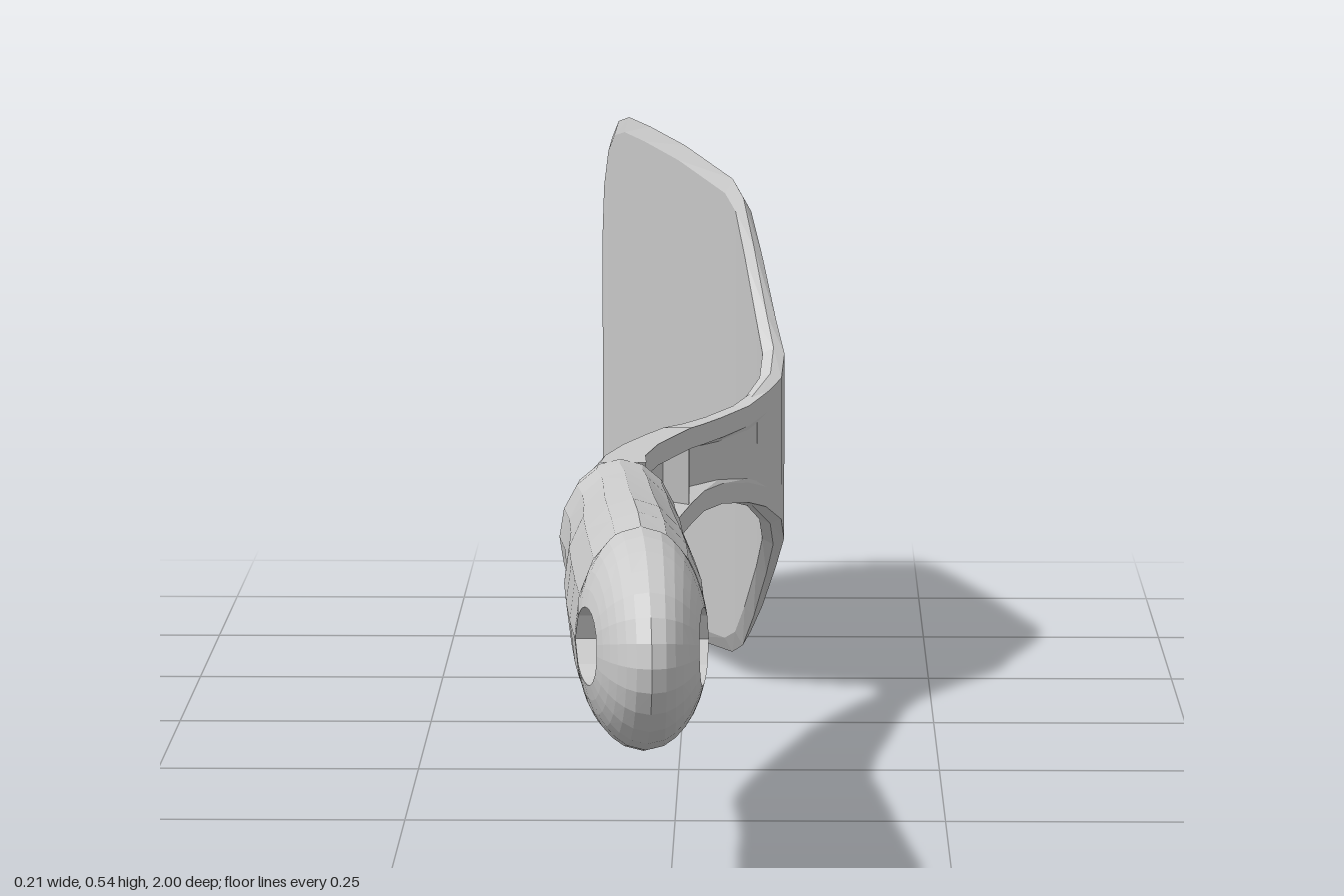
import * as THREE from 'three';

const material = new THREE.MeshStandardMaterial({ color: 0xcccccc, flatShading: true, roughness: 0.8 });

function makeMesh(name, points, index) {
  const g = new THREE.BufferGeometry();
  g.setAttribute('position', new THREE.Float32BufferAttribute(points.flat(), 3));
  g.setIndex(index);
  g.computeVertexNormals();
  const mesh = new THREE.Mesh(g, material);
  mesh.name = name;
  return mesh;
}

// Skin over rings (counter-clockwise seen from +z) that run towards -z
function loft(name, rings, capStart, capEnd) {
  const n = rings[0].length, index = [];
  for (let i = 0; i < rings.length - 1; i++) {
    for (let j = 0; j < n; j++) {
      const k = (j + 1) % n, a = i * n + j, b = i * n + k;
      index.push(a, a + n, b + n, a, b + n, b);
    }
  }
  const last = (rings.length - 1) * n;
  for (let j = 1; j < n - 1; j++) {
    if (capStart) index.push(0, j, j + 1);
    if (capEnd) index.push(last, last + j + 1, last + j);
  }
  return makeMesh(name, rings.flat(), index);
}

// Rounded handle end: half an ellipsoid pierced by an oval hanging hole
function handleEnd() {
  const z0 = 0.84, rz = 0.16, yc = 0.275, ry = 0.093, rx = 0.056;
  const hole = { z: 0.9, y: 0.277, rz: 0.045, ry: 0.032 };
  const outline = [];
  for (let k = -4; k <= 4; k++) outline.push([z0, yc + ry * Math.sin(k * Math.PI / 8)]);
  for (let k = 1; k < 14; k++) {
    const t = k * Math.PI / 14;
    outline.push([z0 + rz * Math.sin(t), yc + ry * Math.cos(t)]);
  }
  const n = outline.length, steps = 6, points = [], index = [];
  for (const side of [1, -1]) {
    for (let s = 0; s <= steps; s++) {
      const t = (s / steps) ** 1.5;
      for (const [oz, oy] of outline) {
        const a = Math.atan2((oy - hole.y) / hole.ry, (oz - hole.z) / hole.rz);
        const z = THREE.MathUtils.lerp(oz, hole.z + hole.rz * Math.cos(a), t);
        const y = THREE.MathUtils.lerp(oy, hole.y + hole.ry * Math.sin(a), t);
        const u = (z - z0) / rz, v = (y - yc) / ry;
        const half = rx * Math.sqrt(Math.max(0, 1 - u * u - v * v));
        points.push([-0.02 + 0.012 * u + side * half, y, z]);
      }
    }
  }
  const offset = n * (steps + 1);
  for (let j = 0; j < n; j++) {
    const k = (j + 1) % n;
    for (let s = 0; s < steps; s++) {
      const a = s * n + j, b = s * n + k, c = b + n, d = a + n;
      index.push(a, b, c, a, c, d);
      index.push(a + offset, c + offset, b + offset, a + offset, d + offset, c + offset);
    }
    // wall of the hole
    const p = steps * n + j, q = steps * n + k;
    index.push(p, q, q + offset, p, q + offset, p + offset);
  }
  return makeMesh('handleEnd', points, index);
}

// Grip: z, centre x, centre y, half width, half height
function grip() {
  const stations = [
    [0.84, -0.02, 0.275, 0.056, 0.093], [0.76, -0.024, 0.274, 0.058, 0.094],
    [0.66, -0.03, 0.273, 0.058, 0.091], [0.55, -0.036, 0.272, 0.057, 0.084],
    [0.45, -0.04, 0.272, 0.054, 0.077], [0.36, -0.044, 0.272, 0.054, 0.071],
    [0.29, -0.05, 0.272, 0.055, 0.068], [0.25, -0.05, 0.272, 0.053, 0.066],
    [0.235, -0.051, 0.272, 0.048, 0.061],
  ];
  const rings = stations.map(([z, x, y, w, h]) => Array.from({ length: 16 }, (_, k) => {
    const a = k * Math.PI / 8;
    return [x + w * Math.cos(a), y + h * Math.sin(a), z];
  }));
  return loft('handleGrip', rings, false, true);
}

// Neck with a channel on its +x side: z, back x, front x, bottom y, top y, channel depth
function neck() {
  const stations = [
    [0.26, -0.097, -0.026, 0.212, 0.336, 0.035], [0.2, -0.09, -0.028, 0.214, 0.334, 0.035],
    [0.1, -0.072, -0.018, 0.219, 0.33, 0.033], [0, -0.051, -0.001, 0.223, 0.325, 0.03],
    [-0.08, -0.034, 0.011, 0.226, 0.32, 0.026], [-0.15, -0.012, 0.023, 0.228, 0.314, 0.015],
    [-0.21, 0.012, 0.04, 0.226, 0.312, 0.004], [-0.27, 0.04, 0.066, 0.218, 0.315, 0.001],
    [-0.32, 0.063, 0.088, 0.205, 0.325, 0.001], [-0.36, 0.078, 0.098, 0.19, 0.34, 0.001],
  ];
  const rim = 0.02;
  const rings = stations.map(([z, xl, xr, yb, yt, depth]) => {
    const bevel = xl + 0.4 * (xr - xl);
    return [
      [xr, yt], [bevel, yt], [xl, yt - 0.028], [xl, yb + 0.028], [bevel, yb], [xr, yb],
      [xr, yb + rim], [xr - depth, yb + rim + 0.004], [xr - depth, yt - rim - 0.004], [xr, yt - rim],
    ].map(([x, y]) => [x, y, z]);
  });
  return loft('neck', rings, false, true);
}

// Blade: z, centre x, bottom y, top y, half thickness
function blade() {
  const stations = [
    [-0.29, 0.066, 0.215, 0.318, 0.008], [-0.34, 0.087, 0.186, 0.338, 0.011],
    [-0.37, 0.09, 0.16, 0.36, 0.011], [-0.4, 0.083, 0.125, 0.39, 0.01],
    [-0.45, 0.07, 0.072, 0.452, 0.009], [-0.49, 0.059, 0.036, 0.498, 0.008],
    [-0.53, 0.048, 0.022, 0.513, 0.008], [-0.7, -0.003, 0.01, 0.53, 0.007],
    [-0.83, -0.042, 0.004, 0.537, 0.006], [-0.91, -0.066, 0, 0.539, 0.005],
    [-0.95, -0.078, 0.01, 0.531, 0.005], [-0.975, -0.086, 0.032, 0.51, 0.004],
    [-0.99, -0.091, 0.075, 0.468, 0.004], [-1, -0.095, 0.14, 0.41, 0.002],
  ];
  const spread = [0.03, 0.15, 0.35, 0.65, 0.85, 0.97];
  const rings = stations.map(([z, x, yb, yt, t]) => {
    const at = (f, s) => [x + s * t, yb + f * (yt - yb), z];
    return [
      at(0, 0), ...spread.map(f => at(f, 1)),
      at(1, 0), ...[...spread].reverse().map(f => at(f, -1)),
    ];
  });
  return loft('blade', rings, true, true);
}

export function createModel() {
  const model = new THREE.Group();
  model.name = 'spatula';
  model.add(handleEnd(), grip(), neck(), blade());

  // cross rib dividing the neck channel
  const rib = new THREE.Mesh(new THREE.BoxGeometry(0.03, 0.07, 0.012), material);
  rib.name = 'neckRib';
  rib.position.set(-0.006, 0.273, -0.08);
  model.add(rib);
  return model;
}
